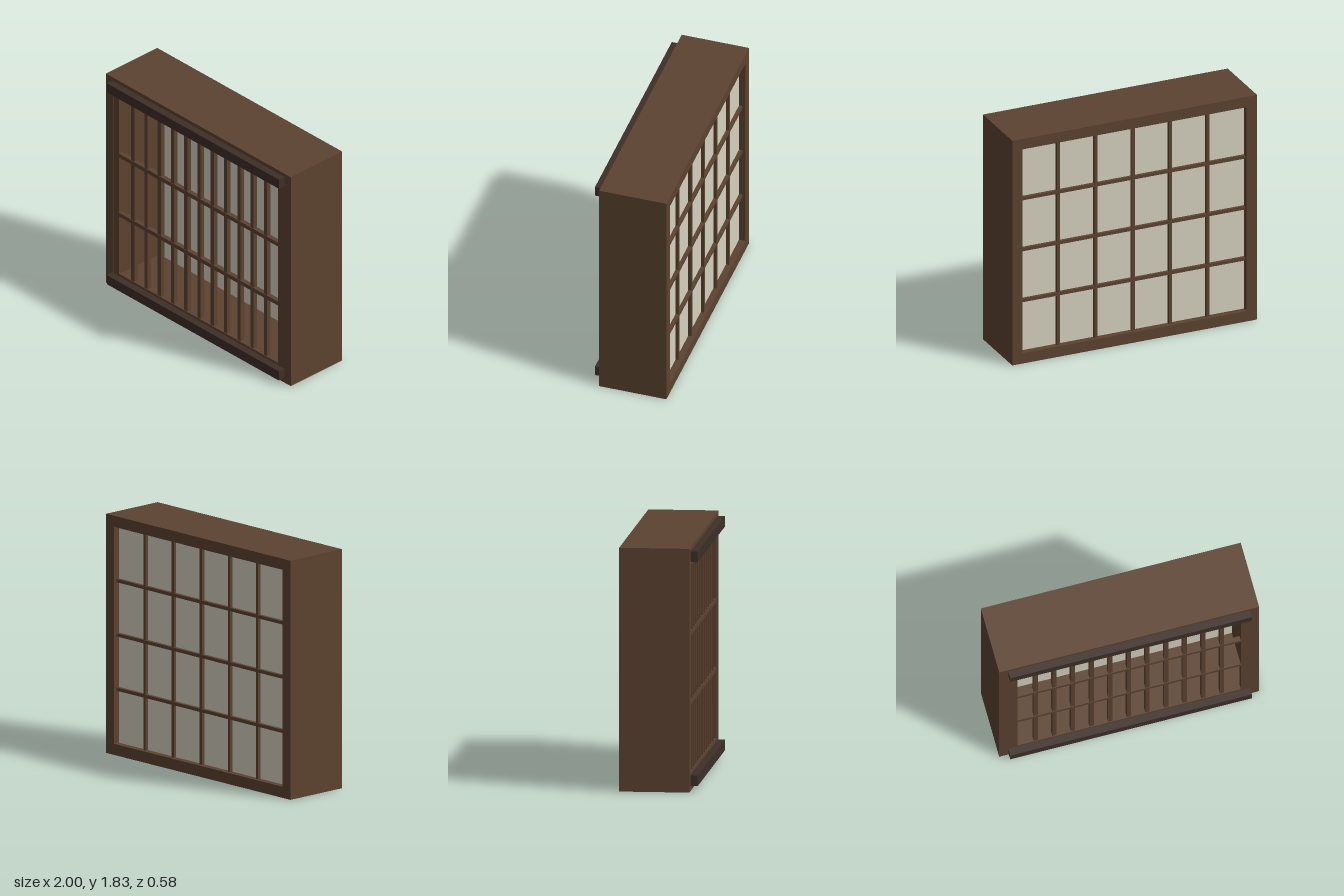
import * as THREE from 'three';

const wood = new THREE.MeshStandardMaterial({ color: 0x5c4330 });
const darkWood = new THREE.MeshStandardMaterial({ color: 0x3e2f28 });
const paper = new THREE.MeshStandardMaterial({ color: 0xd6d1c0 });

const H = 1.83, BACK = -0.29, FRONT = 0.235;
const BOARD = 0.085;              // thickness of the box boards
const IN_X = 1 - BOARD;           // half width inside the box
const STILE = 0.055;              // width of the front lattice frame
const OPEN_X = IN_X - STILE;      // half width of the lattice opening
const OPEN_Y0 = BOARD + STILE, OPEN_Y1 = H - BOARD - STILE;

// Box given by its limits on each axis
function slab(parent, name, material, [x0, x1], [y0, y1], [z0, z1]) {
  const mesh = new THREE.Mesh(new THREE.BoxGeometry(x1 - x0, y1 - y0, z1 - z0), material);
  mesh.position.set((x0 + x1) / 2, (y0 + y1) / 2, (z0 + z1) / 2);
  mesh.name = name;
  parent.add(mesh);
}

// Four boards around an opening: uprights run full height, rails sit between
function surround(name, halfX, y0, y1, width, z) {
  const g = new THREE.Group();
  g.name = name;
  slab(g, 'rightUpright', wood, [-halfX, width - halfX], [y0, y1], z);
  slab(g, 'leftUpright', wood, [halfX - width, halfX], [y0, y1], z);
  slab(g, 'bottomRail', wood, [width - halfX, halfX - width], [y0, y0 + width], z);
  slab(g, 'topRail', wood, [width - halfX, halfX - width], [y1 - width, y1], z);
  return g;
}

// Evenly spaced bars dividing an opening into columns and rows
function grid(name, halfX, y0, y1, cols, rows, bar, zVertical, zHorizontal) {
  const g = new THREE.Group();
  g.name = name;
  for (let i = 1; i < cols; i++) {
    const x = -halfX + (2 * halfX * i) / cols;
    slab(g, 'verticalBar', wood, [x - bar / 2, x + bar / 2], [y0, y1], zVertical);
  }
  for (let i = 1; i < rows; i++) {
    const y = y0 + ((y1 - y0) * i) / rows;
    slab(g, 'horizontalBar', wood, [-halfX, halfX], [y - bar / 2, y + bar / 2], zHorizontal);
  }
  return g;
}

export function createModel() {
  const model = new THREE.Group();
  model.name = 'latticeWindow';

  // Deep outer box, open at front and back
  model.add(surround('outerBox', 1, 0, H, BOARD, [BACK, FRONT]));

  // Front lattice with its own frame, nearly flush with the box
  model.add(surround('latticeFrame', IN_X, BOARD, H - BOARD, STILE, [0.19, 0.234]));
  model.add(grid('frontLattice', OPEN_X, OPEN_Y0, OPEN_Y1, 12, 3, 0.033, [0.192, 0.228], [0.195, 0.232]));

  // Paper screen near the back, with thin bars behind it
  slab(model, 'paperScreen', paper, [-IN_X, IN_X], [BOARD, H - BOARD], [-0.24, -0.232]);
  model.add(grid('backLattice', IN_X, BOARD, H - BOARD, 6, 4, 0.025, [-0.264, -0.24], [-0.266, -0.24]));

  // Dark sliding rails across the front
  for (const y of [0.04, 1.72]) {
    slab(model, 'frontRail', darkWood, [-0.93, 0.93], [y, y + 0.08], [FRONT, 0.29]);
  }
  return model;
}
